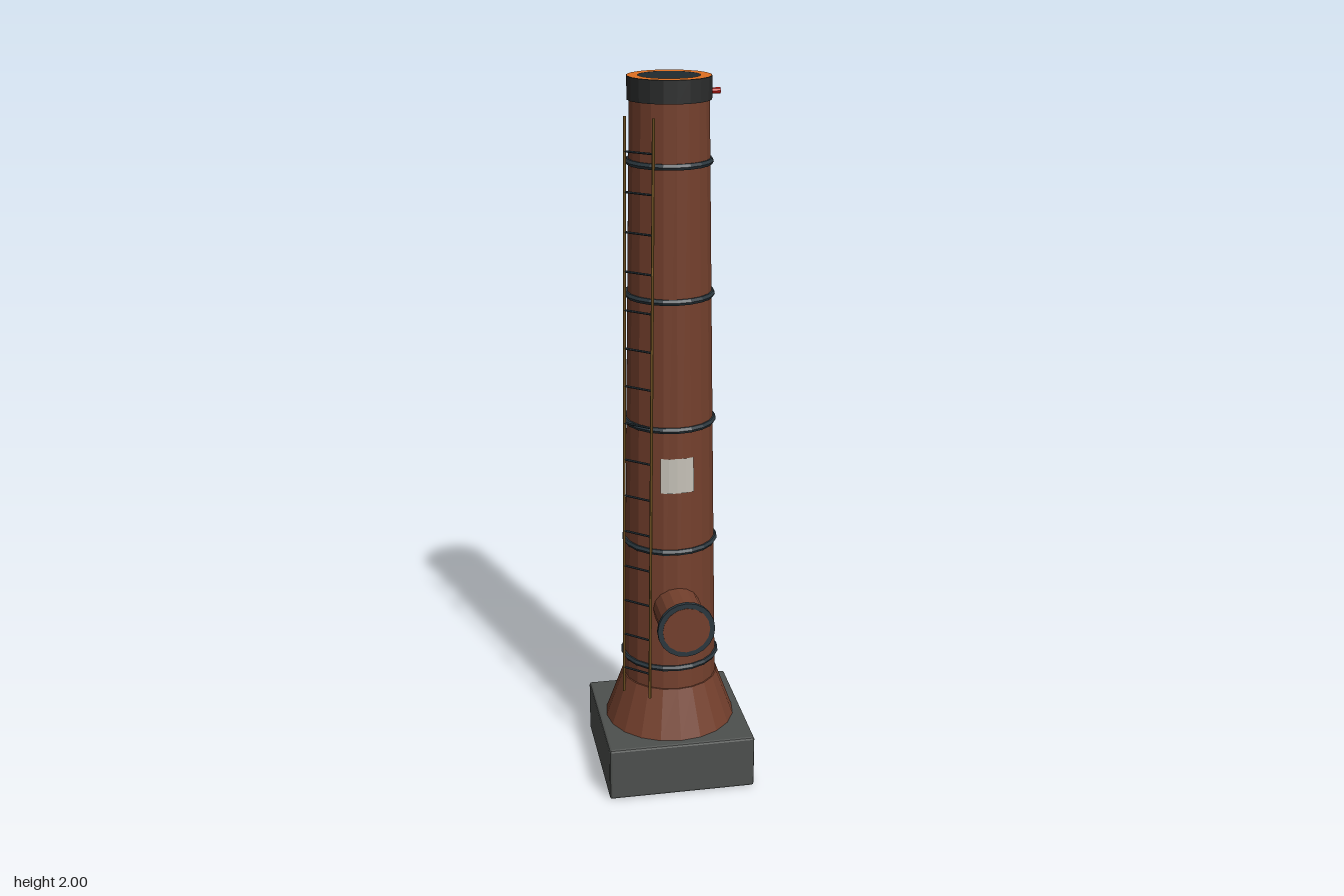
import * as THREE from 'three';
import { RoundedBoxGeometry } from 'three/addons/geometries/RoundedBoxGeometry.js';

const mat = (color, extra = {}) => {
  const m = new THREE.MeshStandardMaterial({ color, flatShading: true, ...extra });
  return m;
};
const SIDES = 20;
const SHAFT = { y0: 0.295, y1: 1.94, r0: 0.133, r1: 0.106 };
const shaftRadius = (y) =>
  THREE.MathUtils.mapLinear(y, SHAFT.y0, SHAFT.y1, SHAFT.r0, SHAFT.r1);

export function createModel() {
  const model = new THREE.Group();
  model.name = 'chimney';
  const stack = new THREE.Group(); // everything is placed around the shaft axis
  stack.name = 'stack';
  stack.position.z = -0.025;
  model.add(stack);

  const brick = mat(0x74402d);
  const iron = mat(0x2b373e);
  const stone = mat(0x4d504e);
  const black = mat(0x2b2c2c);
  const orange = mat(0xe07020);
  const soot = mat(0x1f2a2f);
  const brass = mat(0x85622a);
  const red = mat(0xd01c14);
  const pale = mat(0xc4c0b6, { side: THREE.DoubleSide });

  const add = (name, geometry, material, x = 0, y = 0, z = 0, parent = stack) => {
    const mesh = new THREE.Mesh(geometry, material);
    mesh.name = name;
    mesh.position.set(x, y, z);
    parent.add(mesh);
    return mesh;
  };
  // Rod between two points
  const rod = (name, a, b, r, material, parent) => {
    const d = b.clone().sub(a);
    const mesh = add(name, new THREE.CylinderGeometry(r, r, d.length(), 6), material, 0, 0, 0, parent);
    mesh.position.copy(a).add(b).multiplyScalar(0.5);
    mesh.quaternion.setFromUnitVectors(new THREE.Vector3(0, 1, 0), d.normalize());
    return mesh;
  };

  // Plinth, flared foot and tapering shaft
  add('plinth', new RoundedBoxGeometry(0.42, 0.157, 0.42, 1, 0.007), stone, 0, 0.0785, 0);
  add('flaredFoot', new THREE.CylinderGeometry(0.137, 0.187, 0.138, SIDES), brick, 0, 0.226, 0);
  add('shaft', new THREE.CylinderGeometry(SHAFT.r1, SHAFT.r0, SHAFT.y1 - SHAFT.y0, SIDES),
    brick, 0, (SHAFT.y0 + SHAFT.y1) / 2, 0);

  // Iron bands
  for (let i = 0; i < 5; i++) {
    const y = 0.36 + i * 0.355;
    add('band', new THREE.TorusGeometry(shaftRadius(y), 0.009, 6, SIDES), iron, 0, y, 0)
      .rotation.x = Math.PI / 2;
  }

  // Cap with glowing rim and dark flue
  add('cap', new THREE.CylinderGeometry(0.112, 0.112, 0.06, SIDES), black, 0, 1.969, 0);
  add('rim', new THREE.RingGeometry(0.082, 0.111, SIDES), orange, 0, 2.0, 0)
    .rotation.x = -Math.PI / 2;
  add('flue', new THREE.CircleGeometry(0.083, SIDES), soot, 0, 1.9995, 0)
    .rotation.x = -Math.PI / 2;

  // Warning light on the cap
  add('warningLight', new THREE.CylinderGeometry(0.008, 0.008, 0.024, 8), red, 0.123, 1.957, 0)
    .rotation.z = Math.PI / 2;

  // Side duct with flange
  add('duct', new THREE.CylinderGeometry(0.066, 0.066, 0.18, 16), brick, 0, 0.54, 0.17)
    .rotation.x = Math.PI / 2;
  add('ductFlange', new THREE.CylinderGeometry(0.08, 0.08, 0.012, 20), iron, 0, 0.54, 0.253)
    .rotation.x = Math.PI / 2;

  // Pale panel wrapped on the shaft front
  const lift = 0.003;
  add('panel', new THREE.CylinderGeometry(shaftRadius(0.99) + lift, shaftRadius(0.89) + lift,
    0.1, 4, 1, true, -0.38, 0.76), pale, 0, 0.94, 0);

  // Ladder leaning with the taper, on the front right
  const ladder = new THREE.Group();
  ladder.name = 'ladder';
  ladder.rotation.y = -0.72;
  stack.add(ladder);
  const railPoint = (x, y) =>
    new THREE.Vector3(x, y, THREE.MathUtils.mapLinear(y, 0.29, 1.91, 0.18, 0.149));
  for (const x of [-0.043, 0.043]) {
    rod('ladderRail', railPoint(x, 0.29), railPoint(x, 1.91), 0.004, brass, ladder);
  }
  for (let i = 0; i < 15; i++) {
    const y = 0.365 + i * 0.104;
    rod('ladderRung', railPoint(-0.043, y), railPoint(0.043, y), 0.003, iron, ladder);
  }

  return model;
}
